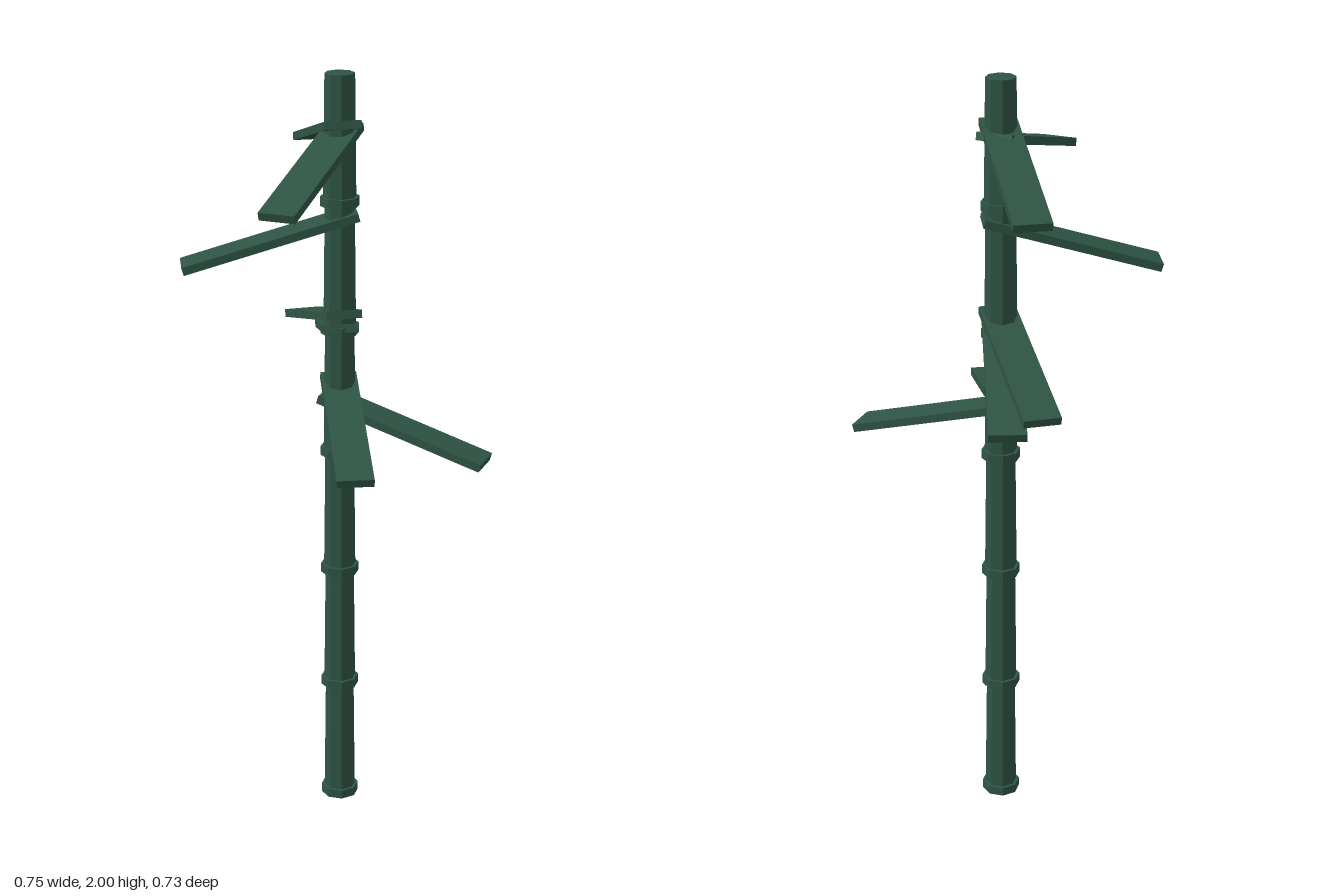
import * as THREE from 'three';

export function createModel() {
  const group = new THREE.Group();
  group.name = 'bambooStalk';
  const green = new THREE.MeshStandardMaterial({ color: 0x2e5444 });
  green.name = 'darkGreen';
  green.flatShading = true;

  const stalk = new THREE.Group();
  stalk.name = 'stalk';
  stalk.position.set(-0.025, 0, -0.032);
  group.add(stalk);

  const add = (name, geometry, y) => {
    const mesh = new THREE.Mesh(geometry, green);
    mesh.name = name;
    mesh.position.y = y;
    stalk.add(mesh);
    return mesh;
  };

  // Six tapered segments, each with a raised ring at its foot
  const count = 6, step = 2 / count, ringHeight = 0.024;
  const segment = new THREE.CylinderGeometry(0.038, 0.042, step, 8);
  const ring = new THREE.CylinderGeometry(0.05, 0.05, ringHeight, 8);
  for (let i = 0; i < count; i++) {
    add('segment', segment, (i + 0.5) * step);
    add('ring', ring, i * step + ringHeight / 2);
  }

  // Flat leaves sloping down and outward: [height at the stalk, x and z heading]
  const slope = 0.28, length = 0.46;
  const blade = new THREE.BoxGeometry(0.093, 0.021, length);
  blade.translate(0, 0, length / 2 - 0.046);
  blade.rotateX(slope);
  const leaves = [
    [1.867, -0.303, -0.26],
    [1.848, 0.112, 0.384],
    [1.633, -0.288, 0.278],
    [1.38, -0.8, -0.6],
    [1.345, -0.657, -0.754],
    [1.19, 0.277, 0.29],
    [1.147, 0.385, -0.114],
  ];
  for (const [y, x, z] of leaves) add('leaf', blade, y).rotation.y = Math.atan2(x, z);

  return group;
}
